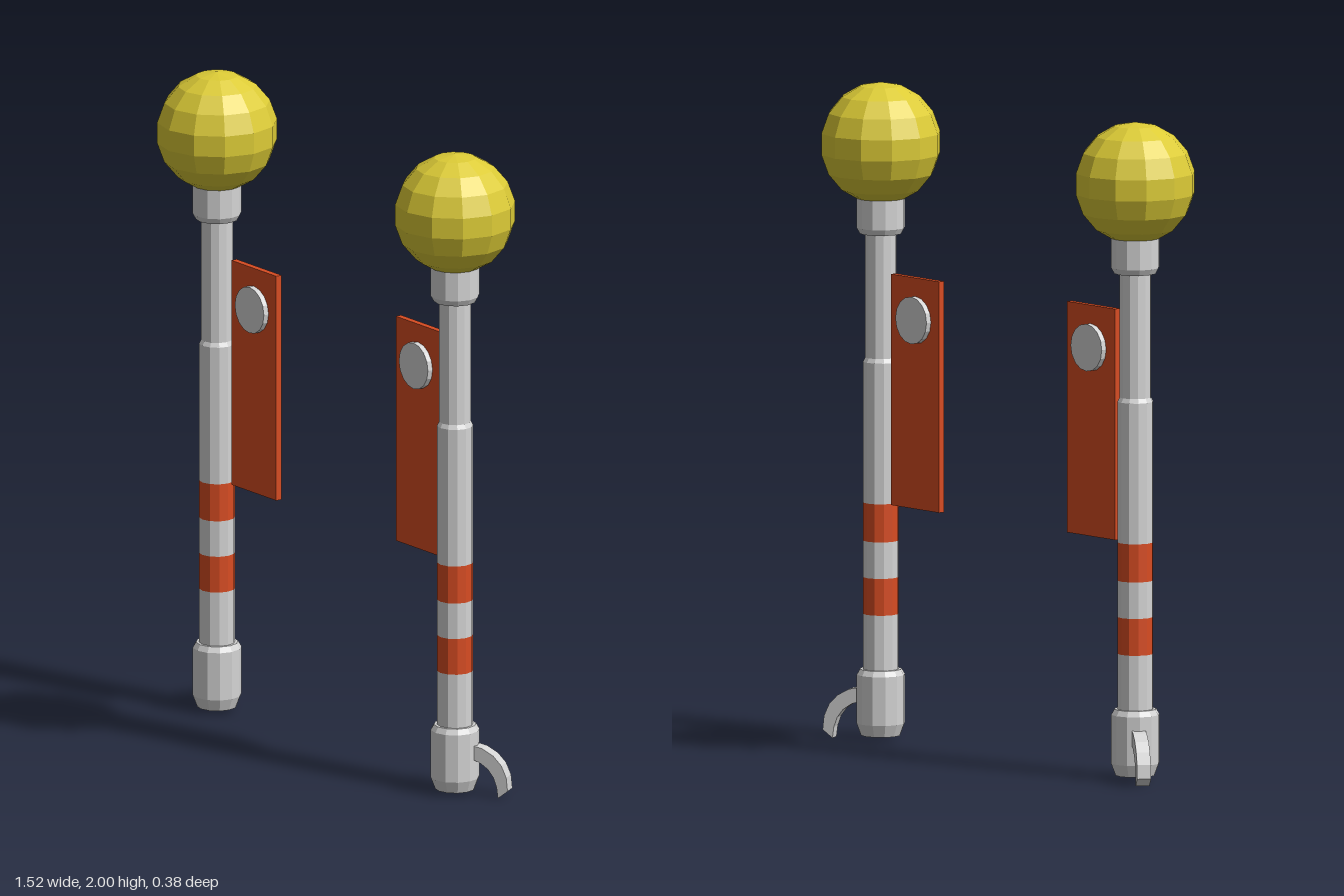
import * as THREE from 'three';

const SIDES = 12;

export function createModel() {
  const mat = (name, color) => {
    const m = new THREE.MeshStandardMaterial({ color, flatShading: true });
    m.name = name;
    return m;
  };
  const metal = mat('pale grey metal', 0xd4d4d4);
  const orange = mat('orange paint', 0xd84c22);
  const yellow = mat('yellow lamp', 0xdccb36);

  const add = (parent, name, geometry, material, x = 0, y = 0, z = 0) => {
    const mesh = new THREE.Mesh(geometry, material);
    mesh.name = name;
    mesh.position.set(x, y, z);
    parent.add(mesh);
    return mesh;
  };
  // turned part from [radius, height] pairs, bottom to top
  const turned = (points) =>
    new THREE.LatheGeometry(points.map(([r, y]) => new THREE.Vector2(r, y)), SIDES);

  // curved hook outline, lying in the plane through the pole axis
  const hookShape = new THREE.Shape();
  hookShape.moveTo(0.05, 0.16);
  hookShape.bezierCurveTo(0.13, 0.155, 0.18, 0.1, 0.177, 0.025);
  hookShape.lineTo(0.146, 0);
  hookShape.bezierCurveTo(0.143, 0.06, 0.12, 0.105, 0.05, 0.118);
  const hookGeometry = new THREE.ExtrudeGeometry(hookShape, {
    depth: 0.042, bevelEnabled: false, curveSegments: 5,
  });
  hookGeometry.translate(0, 0, -0.021);

  const beacon = (side) => {
    const g = new THREE.Group();
    g.name = side > 0 ? 'leftBeacon' : 'rightBeacon';

    // foot, with bevelled ends
    add(g, 'foot', turned([[0, 0.013], [0.06, 0.013], [0.074, 0.05], [0.074, 0.198],
      [0.064, 0.215], [0, 0.215]]), metal);

    // pole in bands, alternating grey and orange
    const bands = [0.21, 0.383, 0.495, 0.606, 0.722];
    for (let i = 0; i < 4; i++) {
      const striped = i % 2 === 1;
      add(g, striped ? 'stripe' : 'poleBand',
        turned([[0.055, bands[i]], [0.055, bands[i + 1]]]), striped ? orange : metal);
    }
    add(g, 'upperPole', turned([[0.055, 0.722], [0.055, 1.15], [0.048, 1.163],
      [0.048, 1.56]]), metal);

    // collar under the globe
    add(g, 'collar', turned([[0.04, 1.54], [0.064, 1.54], [0.074, 1.558], [0.074, 1.652],
      [0, 1.652]]), metal);
    add(g, 'globe', new THREE.SphereGeometry(0.185, SIDES, 9), yellow, 0, 1.815, 0);

    // hanging banner, on the inner side, with a disc through it
    add(g, 'banner', new THREE.BoxGeometry(0.222, 0.703, 0.02), orange,
      -side * 0.182, 1.0735, -0.01);
    add(g, 'bannerDisc', new THREE.CylinderGeometry(0.072, 0.072, 0.055, 16), metal,
      -side * 0.183, 1.297, -0.01).rotation.x = Math.PI / 2;

    // hook, swung outwards and to the back
    const angle = THREE.MathUtils.degToRad(32);
    add(g, 'hook', hookGeometry, metal).rotation.y = side > 0 ? angle : Math.PI - angle;

    g.position.set(side * 0.576, 0, -side * 0.01);
    return g;
  };

  const model = new THREE.Group();
  model.name = 'beaconPair';
  model.add(beacon(1), beacon(-1));
  return model;
}
